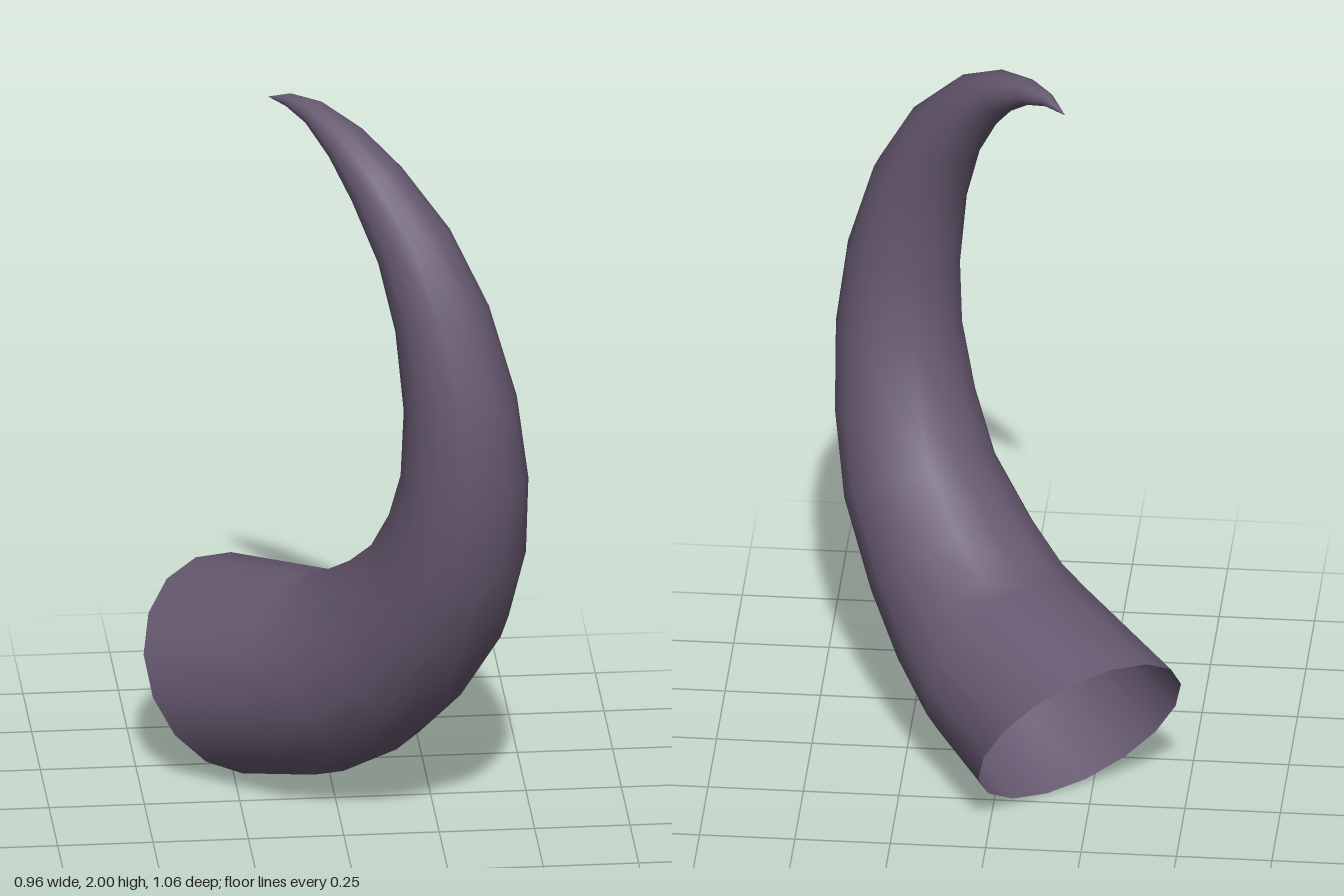
import * as THREE from 'three';

export function createModel() {
  const model = new THREE.Group();
  const hornMaterial = new THREE.MeshStandardMaterial({ color: 0x665970, side: THREE.DoubleSide });
  hornMaterial.name = 'dusky purple horn';

  // Centre line and radius of each ring, from the open base to the tip: x, y, z, radius
  const rings = [
    [-0.23, 0.25, -0.315, 0.295],
    [-0.03, 0.32, -0.075, 0.27],
    [0.055, 0.39, 0.025, 0.252],
    [0.145, 0.505, 0.13, 0.232],
    [0.24, 0.675, 0.245, 0.207],
    [0.285, 0.855, 0.325, 0.188],
    [0.305, 1.057, 0.373, 0.167],
    [0.293, 1.27, 0.383, 0.149],
    [0.248, 1.5, 0.355, 0.127],
    [0.18, 1.683, 0.295, 0.104],
    [0.09, 1.828, 0.215, 0.079],
    [0.015, 1.913, 0.13, 0.057],
    [-0.06, 1.965, 0.045, 0.035],
    [-0.12, 1.977, -0.015, 0.018],
    [-0.17, 1.965, -0.07, 0],
  ];
  const sides = 16;
  const centres = rings.map(([x, y, z]) => new THREE.Vector3(x, y, z));
  const bendAxis = new THREE.Vector3(0.75, 0, -0.66);
  const positions = [];
  const indices = [];

  rings.forEach(([, , , radius], i) => {
    // The base is cut at a slight slant; other rings stand square to the curve
    const tangent = i === 0
      ? new THREE.Vector3(0.5, 0.49, 0.7)
      : centres[Math.min(i + 1, rings.length - 1)].clone().sub(centres[i - 1]);
    tangent.normalize();
    const across = bendAxis.clone().addScaledVector(tangent, -bendAxis.dot(tangent)).normalize();
    const outward = tangent.clone().cross(across);
    for (let j = 0; j < sides; j++) {
      const angle = (j / sides) * Math.PI * 2;
      const point = centres[i].clone()
        .addScaledVector(across, Math.cos(angle) * radius)
        .addScaledVector(outward, Math.sin(angle) * radius);
      positions.push(point.x, point.y, point.z);
      if (i === 0) continue;
      const next = (j + 1) % sides;
      const a = (i - 1) * sides + j, b = (i - 1) * sides + next;
      const c = i * sides + next, d = i * sides + j;
      indices.push(a, b, d);
      if (radius > 0) indices.push(b, c, d);
    }
  });

  // Smooth hollow shell
  const geometry = new THREE.BufferGeometry();
  geometry.setAttribute('position', new THREE.Float32BufferAttribute(positions, 3));
  geometry.setIndex(indices);
  geometry.computeVertexNormals();
  const horn = new THREE.Mesh(geometry, hornMaterial);
  horn.name = 'curvedHorn';
  model.add(horn);
  return model;
}
